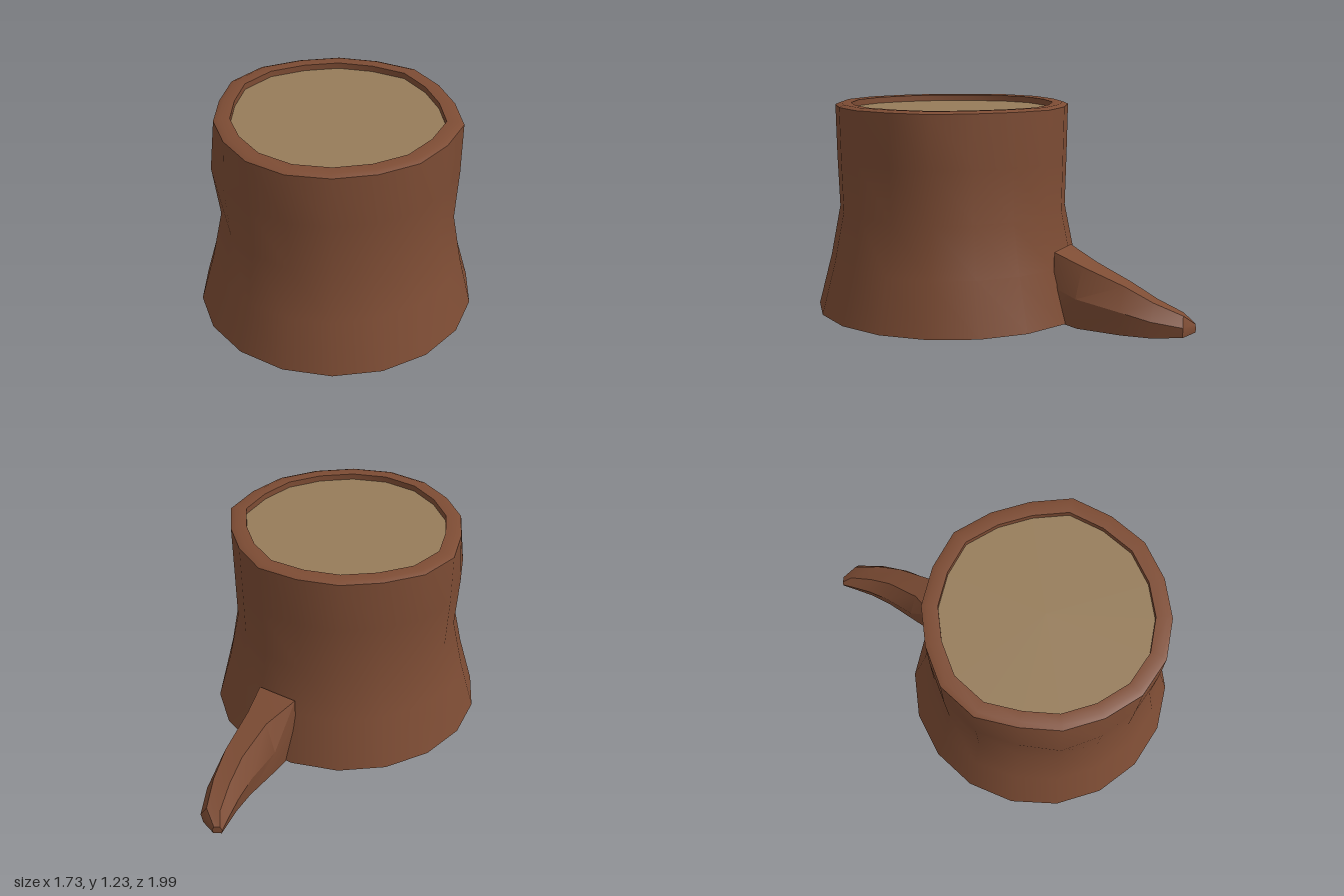
import * as THREE from 'three';
import { toCreasedNormals } from 'three/addons/utils/BufferGeometryUtils.js';

// Skins a list of closed cross-sections (arrays of Vector3) with capped ends.
function loft(rings, crease) {
  const n = rings[0].length;
  const pos = [];
  const tri = (a, b, c) => pos.push(...a.toArray(), ...b.toArray(), ...c.toArray());
  for (let i = 0; i < rings.length - 1; i++) {
    const p = rings[i], q = rings[i + 1];
    for (let k = 0; k < n; k++) {
      const m = (k + 1) % n;
      tri(p[k], q[k], q[m]);
      tri(p[k], q[m], p[m]);
    }
  }
  const mid = (r) => r.reduce((s, v) => s.add(v), new THREE.Vector3()).divideScalar(n);
  const first = rings[0], last = rings[rings.length - 1];
  const c0 = mid(first), c1 = mid(last);
  for (let k = 0; k < n; k++) {
    const m = (k + 1) % n;
    tri(c0, first[k], first[m]);
    tri(c1, last[m], last[k]);
  }
  const g = new THREE.BufferGeometry();
  g.setAttribute('position', new THREE.Float32BufferAttribute(pos, 3));
  return toCreasedNormals(g, crease);
}

const SIDES = 18;
const CX = -0.065, CZ = 0.2;
// Slightly uneven outline of the cut edge, starting at +x and turning toward +z
const CUT = [0.665, 0.70, 0.68, 0.685, 0.675, 0.68, 0.69, 0.685, 0.665,
  0.665, 0.66, 0.70, 0.70, 0.673, 0.673, 0.67, 0.69, 0.665];

function ring(y, radius) {
  return Array.from({ length: SIDES }, (_, k) => {
    const a = (k / SIDES) * Math.PI * 2, r = radius(k);
    return new THREE.Vector3(CX + r * Math.cos(a), y, CZ + r * Math.sin(a));
  });
}

export function createModel() {
  const model = new THREE.Group();
  model.name = 'treeStump';
  const bark = new THREE.MeshStandardMaterial({ color: 0x7d4c34 });
  bark.name = 'bark';
  const wood = new THREE.MeshStandardMaterial({ color: 0x967c5a });
  wood.name = 'cut wood';

  const add = (name, geometry, material) => {
    const mesh = new THREE.Mesh(geometry, material);
    mesh.name = name;
    model.add(mesh);
  };

  // Flared trunk, raised rim and shallow recess
  const bump = (k) => (k === 9 ? 0.035 : k === 8 || k === 10 ? 0.02 : 0);
  const inner = (k) => CUT[k] * 0.865;
  add('trunk', loft([
    ring(0.03, () => 0.8),
    ring(0.33, (k) => 0.72 + (CUT[k] - 0.675) * 0.3),
    ring(0.62, (k) => 0.662 + (CUT[k] - 0.675) * 0.6),
    ring(0.92, (k) => CUT[k] - 0.005 + bump(k)),
    ring(1.215, (k) => CUT[k]),
    ring(1.228, (k) => CUT[k] - 0.03),
    ring(1.225, inner),
    ring(1.18, inner),
  ], 0.6), bark);

  // Cut face sunk inside the rim
  add('cutFace', loft([ring(1.183, inner), ring(1.19, inner)], 0.6), wood);

  // Curved root: left x, left z, right x, right z, bottom, top, top width
  const sections = [
    [0.30, -0.42, 0.49, -0.27, 0.03, 0.43, 1],
    [0.43, -0.57, 0.61, -0.36, 0.015, 0.36, 0.55],
    [0.57, -0.72, 0.75, -0.57, 0.005, 0.27, 0.5],
    [0.65, -0.83, 0.82, -0.72, 0, 0.19, 0.5],
    [0.715, -0.95, 0.86, -0.89, 0.005, 0.12, 0.5],
    [0.745, -1.0, 0.80, -0.99, 0.015, 0.06, 0.6],
  ].map(([lx, lz, rx, rz, y0, y1, top]) => {
    const at = (t, h) => new THREE.Vector3(
      lx + (rx - lx) * t, y0 + (y1 - y0) * h, lz + (rz - lz) * t);
    const e = (1 - top) / 2;
    return [at(0.08, 0), at(0, 0.5), at(e, 1), at(1 - e, 1), at(1, 0.5), at(0.92, 0)];
  });
  // Reverse the corner order so the faces point outward
  add('root', loft(sections.map((s) => s.reverse()), 0.5), bark);

  return model;
}
